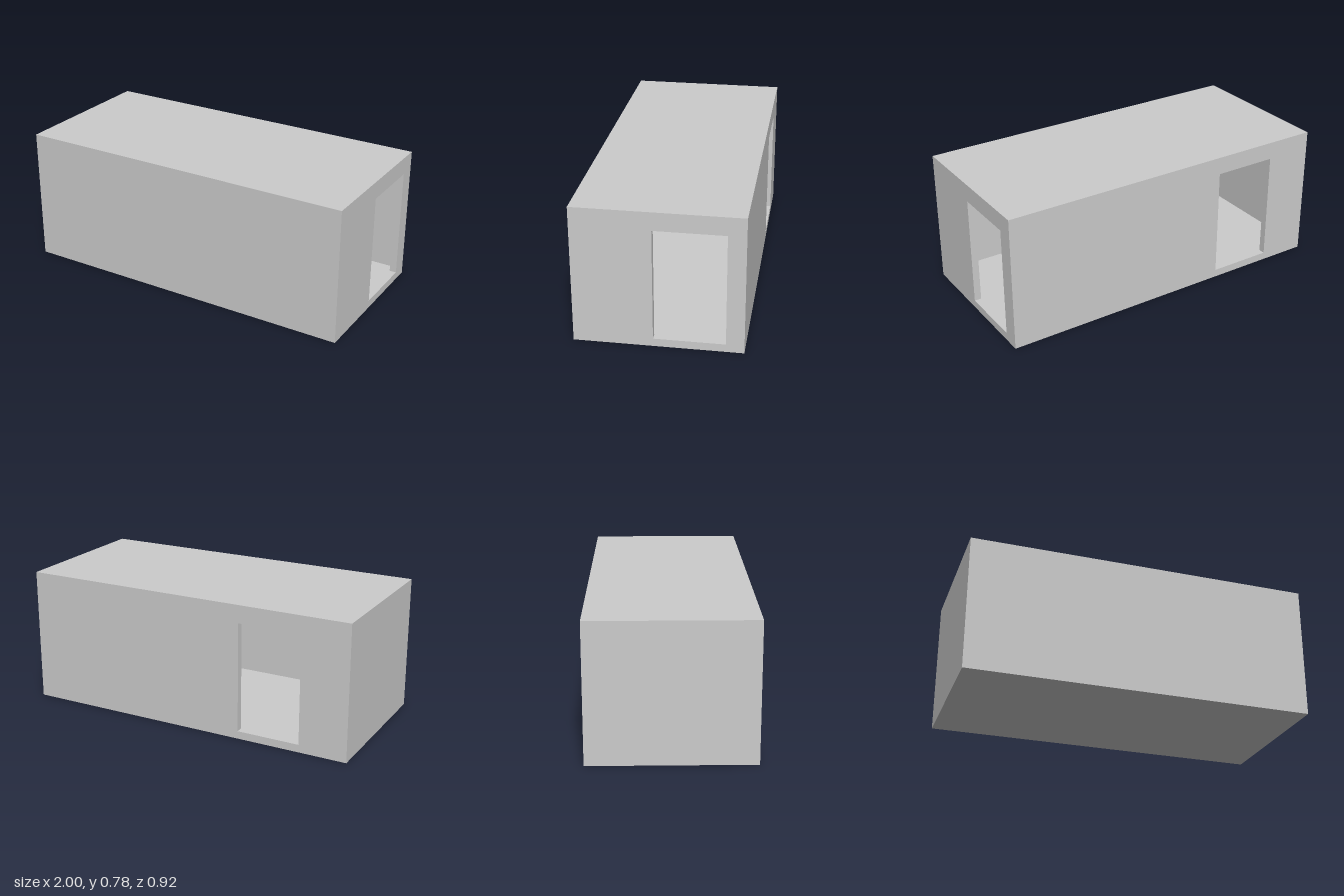
import * as THREE from 'three';

const W = 2, H = 0.783, D = 0.915;      // outer size
const WALL = 0.04, FLOOR = 0.045, ROOF = 0.065;
const DOOR_TOP = 0.68;

export function createModel() {
  const group = new THREE.Group();
  const material = new THREE.MeshStandardMaterial({ color: 0xcccccc });

  function add(name, geometry, x, y, z, turn = 0) {
    const mesh = new THREE.Mesh(geometry, material);
    mesh.name = name;
    mesh.position.set(x, y, z);
    mesh.rotation.y = turn;
    group.add(mesh);
  }

  // Wall panel standing on the floor, with an optional doorway from u0 to u1
  function wall(width, door) {
    const h = width / 2, top = H - ROOF;
    const points = [[-h, FLOOR]];
    if (door) {
      const [u0, u1] = door;
      points.push([u0, FLOOR], [u0, DOOR_TOP], [u1, DOOR_TOP], [u1, FLOOR]);
    }
    points.push([h, FLOOR], [h, top], [-h, top]);
    const shape = new THREE.Shape(points.map(([u, v]) => new THREE.Vector2(u, v)));
    return new THREE.ExtrudeGeometry(shape, { depth: WALL, bevelEnabled: false });
  }

  // Floor and roof slabs
  add('floor', new THREE.BoxGeometry(W, FLOOR, D), 0, FLOOR / 2, 0);
  add('roof', new THREE.BoxGeometry(W, ROOF, D), 0, H - ROOF / 2, 0);

  // Long walls; the back one has a doorway
  add('frontWall', wall(W), 0, 0, D / 2 - WALL);
  add('backWall', wall(W, [-0.72, -0.348]), 0, 0, -D / 2);

  // End walls fit between the long ones; the left one has a doorway
  const inner = D - 2 * WALL;
  add('leftEndWall', wall(inner, [-0.027, 0.36]), W / 2 - WALL, 0, 0, Math.PI / 2);
  add('rightEndWall', wall(inner), -W / 2, 0, 0, Math.PI / 2);

  return group;
}
